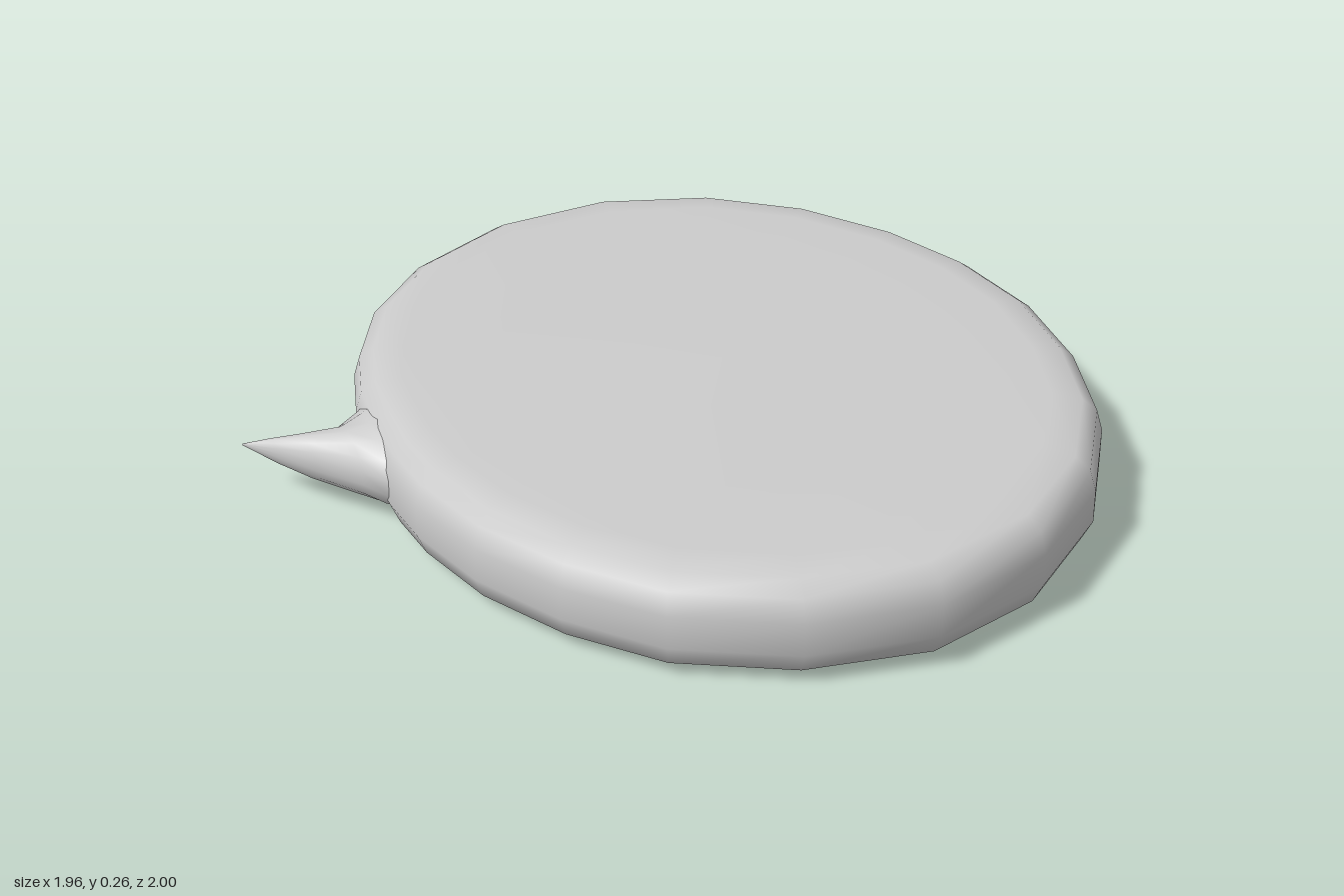
import * as THREE from 'three';

// Joins a stack of equal-length closed rings of [x, y, z] points into one smooth surface.
function loft(rings) {
  const n = rings[0].length;
  const index = [];
  for (let r = 0; r < rings.length - 1; r++) {
    for (let i = 0; i < n; i++) {
      const a = r * n + i;
      const b = r * n + (i + 1) % n;
      index.push(a, a + n, b, b, a + n, b + n);
    }
  }
  const geometry = new THREE.BufferGeometry();
  geometry.setAttribute('position', new THREE.Float32BufferAttribute(rings.flat(2), 3));
  geometry.setIndex(index);
  geometry.computeVertexNormals();
  return geometry;
}

// Oval plan outline [x, z], running back, left, front, right.
const outline = [
  [-0.05, -1], [0.27, -1], [0.55, -0.88], [0.76, -0.68], [0.9, -0.43], [0.97, -0.18],
  [0.98, 0.08], [0.92, 0.35], [0.81, 0.59], [0.63, 0.8], [0.38, 0.95], [0.08, 1],
  [-0.21, 0.92], [-0.45, 0.76], [-0.6, 0.56], [-0.7, 0.34], [-0.745, 0.12], [-0.75, -0.03],
  [-0.735, -0.18], [-0.71, -0.335], [-0.65, -0.5], [-0.53, -0.7], [-0.33, -0.88],
];

// Rounded rim: [scale of the outline, height], from the underside to the top.
const rim = [
  [0.001, 0], [0.6, 0.004], [0.85, 0.007], [0.93, 0.014], [0.975, 0.036], [1, 0.09],
  [0.998, 0.17], [0.98, 0.222], [0.94, 0.248], [0.86, 0.256], [0.6, 0.258], [0.001, 0.262],
];

// Tail sections from root to tip: front edge x, z, back edge x, z, half height.
const tailSections = [
  [-0.58, 0.08, -0.58, -0.42, 0.118],
  [-0.67, 0.04, -0.65, -0.4, 0.108],
  [-0.75, -0.03, -0.71, -0.335, 0.093],
  [-0.785, -0.1, -0.78, -0.29, 0.077],
  [-0.86, -0.2, -0.87, -0.318, 0.054],
  [-0.92, -0.285, -0.93, -0.352, 0.03],
  [-0.98, -0.38, -0.981, -0.382, 0.002],
];

export function createModel() {
  const group = new THREE.Group();
  group.name = 'speechBubble';
  const grey = new THREE.MeshStandardMaterial({ color: 0xcccccc });
  grey.name = 'light grey';

  // Flat oval body with a rounded rim
  const centreX = 0.11;
  const body = new THREE.Mesh(loft(rim.map(([s, y]) =>
    outline.map(([x, z]) => [centreX + (x - centreX) * s, y, z * s]))), grey);
  body.name = 'bubbleBody';
  group.add(body);

  // Pointed tail, swept backwards
  const sides = 14;
  const tail = new THREE.Mesh(loft(tailSections.map(([fx, fz, bx, bz, h]) =>
    Array.from({ length: sides }, (_, i) => {
      const angle = (i / sides) * Math.PI * 2;
      const t = (1 + Math.sin(angle)) / 2;
      return [bx + (fx - bx) * t, 0.13 + h * Math.cos(angle), bz + (fz - bz) * t];
    }))), grey);
  tail.name = 'bubbleTail';
  group.add(tail);

  return group;
}
